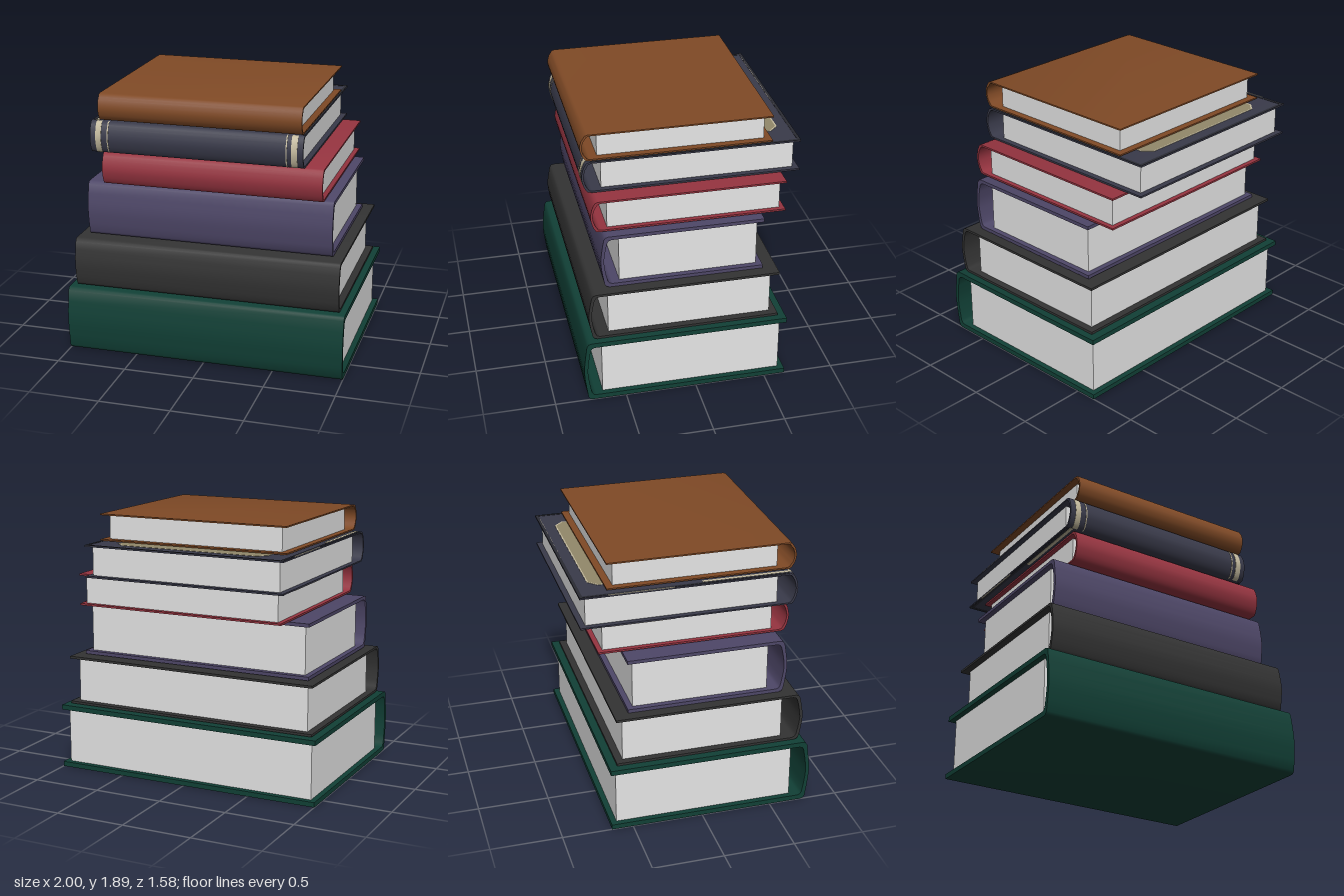
import * as THREE from 'three';
import { toCreasedNormals } from 'three/addons/utils/BufferGeometryUtils.js';

const mat = (name, color) => {
  const m = new THREE.MeshStandardMaterial({ color });
  m.name = name;
  return m;
};

// Spine curve from top to bottom as [z, y]; inset moves it inwards
function spineCurve(b, insetZ, insetY) {
  const z = b.spine - insetZ, top = b.y1 - insetY, bottom = b.y0 + insetY;
  const h = top - bottom;
  const upper = [
    [z - 0.055, top], [z - 0.035, top - 0.006], [z - 0.023, top - 0.025],
    [z - 0.012, top - h * 0.22], [z - 0.003, top - h * 0.38],
  ];
  const lower = upper.map(([a, y]) => [a, top + bottom - y]).reverse();
  return [...upper, [z, (top + bottom) / 2], ...lower];
}

// Extrude a [z, y] outline along x from x0 to x1
function extrudeX(points, x0, x1) {
  const shape = new THREE.Shape(points.map(([z, y]) => new THREE.Vector2(-z, y)));
  const g = new THREE.ExtrudeGeometry(shape, { depth: x1 - x0, bevelEnabled: false });
  g.rotateY(Math.PI / 2).translate(x0, 0, 0);
  return toCreasedNormals(g, 0.75);
}

function addMesh(parent, name, geometry, material) {
  const m = new THREE.Mesh(geometry, material);
  m.name = name;
  parent.add(m);
  return m;
}

// Thin rectangle lying on a cover, given by its x and z limits
function addPlate(parent, name, material, x0, x1, z0, z1, y, t = 0.003) {
  const m = addMesh(parent, name, new THREE.BoxGeometry(x1 - x0, t, z1 - z0), material);
  m.position.set((x0 + x1) / 2, y, (z0 + z1) / 2);
}

function makeBook(b, pageMat) {
  const group = new THREE.Group();
  group.name = b.name;
  // C-shaped cover: two boards joined by the hollow spine
  const outline = [
    [b.back, b.y1], ...spineCurve(b, 0, 0), [b.back, b.y0],
    [b.back, b.y0 + b.board], ...spineCurve(b, b.spineT, b.board).reverse(),
    [b.back, b.y1 - b.board],
  ];
  addMesh(group, 'cover', extrudeX(outline, b.x0, b.x1), b.material);
  // Page block set in from the three open edges
  const inset = b.pageBack - b.back;
  const pages = addMesh(group, 'pages', new THREE.BoxGeometry(
    b.x1 - b.x0 - inset * 2, b.y1 - b.y0 - b.board * 2, b.pageFront - b.pageBack), pageMat);
  pages.position.set((b.x0 + b.x1) / 2, (b.y0 + b.y1) / 2, (b.pageFront + b.pageBack) / 2);
  return group;
}

// Bands on the spine, border lines and framed panels on the covers
function decorate(book, b, beige, olive, dark) {
  const bands = [[-0.775, -0.735], [-0.692, -0.684], [0.566, 0.574], [0.603, 0.645]];
  for (const [x0, x1] of bands) {
    const outline = [...spineCurve(b, -0.003, 0), ...spineCurve(b, 0.002, 0.002).reverse()];
    addMesh(book, 'spineBand', extrudeX(outline, x0, x1), beige);
  }
  for (const y of [b.y1 + 0.001, b.y0 - 0.001]) {
    addPlate(book, 'coverBackEdge', dark, b.x0, b.x1, b.back, -0.768, y);
    addPlate(book, 'coverSideEdge', dark, b.x0 + 0.008, -0.787, -0.768, 0.65, y);
    addPlate(book, 'coverSideEdge', dark, 0.665, b.x1, -0.768, 0.65, y);
    addPlate(book, 'borderLine', beige, -0.785, -0.762, 0.05, 0.66, y);
    addPlate(book, 'borderLine', beige, b.x0, -0.807, -0.6, -0.15, y);
    addPlate(book, 'borderLine', beige, -0.74, 0.61, -0.773, -0.768, y);
    // Panel with clipped corners inside a narrow rim
    const panel = (x0, x1, z0, z1, c) => [
      [x0 + c, z0], [x1 - c, z0], [x1, z0 + c], [x1, z1 - c],
      [x1 - c, z1], [x0 + c, z1], [x0, z1 - c], [x0, z0 + c],
    ].map(([x, z]) => new THREE.Vector2(x, -z));
    const lay = (shape, name, material) => {
      const g = new THREE.ExtrudeGeometry(shape, { depth: 0.003, bevelEnabled: false });
      g.rotateX(-Math.PI / 2).translate(0, y - 0.0015, 0);
      addMesh(book, name, g, material);
    };
    const rim = new THREE.Shape(panel(-0.64, 0.51, -0.69, 0.56, 0.06));
    rim.holes.push(new THREE.Path(panel(-0.63, 0.5, -0.68, 0.55, 0.055)));
    lay(rim, 'panelRim', beige);
    lay(new THREE.Shape(panel(-0.63, 0.5, -0.68, 0.55, 0.055)), 'panel', olive);
  }
}

export function createModel() {
  const model = new THREE.Group();
  model.name = 'bookStack';
  const pageMat = mat('paper', 0xe6e6e6);
  const beige = mat('beige', 0xc5bb9f);
  const olive = mat('olive', 0x92896a);
  const dark = mat('charcoal', 0x2a2b33);

  const books = [
    { name: 'greenBook', material: mat('green', 0x114036), x0: -1, x1: 1, y0: 0, y1: 0.47,
      spine: 0.79, back: -0.65, board: 0.035, spineT: 0.025, pageFront: 0.66, pageBack: -0.61 },
    { name: 'blackBook', material: mat('black', 0x333333), x0: -0.95, x1: 0.955, y0: 0.475, y1: 0.83,
      spine: 0.74, back: -0.595, board: 0.017, spineT: 0.02, pageFront: 0.6, pageBack: -0.545 },
    { name: 'purpleBook', material: mat('purple', 0x4e4768), x0: -0.88, x1: 0.88, y0: 0.835, y1: 1.228,
      spine: 0.635, back: -0.495, board: 0.025, spineT: 0.022, pageFront: 0.505, pageBack: -0.455 },
    { name: 'redBook', material: mat('red', 0x963440), x0: -0.745, x1: 0.815, y0: 1.235, y1: 1.463,
      spine: 0.685, back: -0.66, board: 0.013, spineT: 0.015, pageFront: 0.57, pageBack: -0.625 },
    { name: 'navyBook', material: mat('navy', 0x393a4a), x0: -0.815, x1: 0.685, y0: 1.468, y1: 1.693,
      spine: 0.715, back: -0.79, board: 0.01, spineT: 0.014, pageFront: 0.58, pageBack: -0.75 },
    { name: 'brownBook', material: mat('brown', 0x804a26), x0: -0.75, x1: 0.675, y0: 1.7, y1: 1.89,
      spine: 0.72, back: -0.595, board: 0.01, spineT: 0.013, pageFront: 0.6, pageBack: -0.545 },
  ];
  for (const b of books) {
    const book = makeBook(b, pageMat);
    if (b.name === 'navyBook') decorate(book, b, beige, olive, dark);
    model.add(book);
  }
  return model;
}
